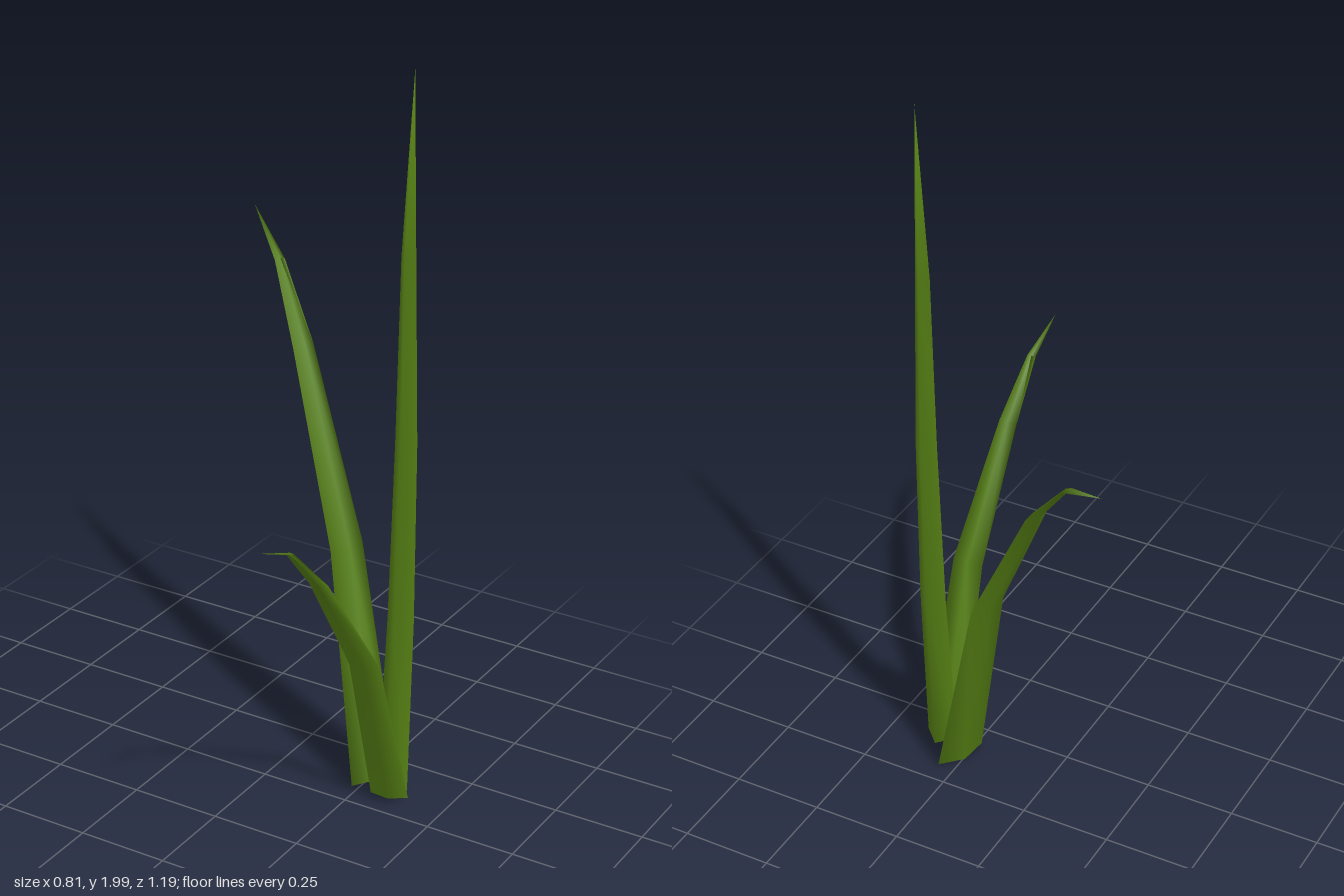
import * as THREE from 'three';

// Each knot: centre x, y, z, half width, half thickness. The last knot is the tip.
const BLADES = [
  {
    name: 'tallBlade', across: [1, 0, 0],
    knots: [
      [0.34, 0.03, -0.094, 0.046, 0.045], [0.337, 0.52, -0.128, 0.039, 0.038],
      [0.334, 1.02, -0.142, 0.032, 0.032], [0.334, 1.52, -0.134, 0.021, 0.022],
      [0.334, 2, -0.145, 0, 0],
    ],
  },
  {
    name: 'longBentBlade', across: [0.41, 0, -0.91],
    knots: [
      [0.265, 0.012, -0.13, 0.074, 0.022], [0.12, 0.635, -0.217, 0.052, 0.015],
      [-0.115, 1.1, -0.38, 0.033, 0.01], [-0.255, 1.285, -0.487, 0.016, 0.005],
      [-0.405, 1.38, -0.6, 0, 0],
    ],
  },
  {
    name: 'shortBentBlade', across: [0.99, 0.08, -0.14],
    knots: [
      [0.357, 0.03, -0.05, 0.053, 0.013], [0.357, 0.49, 0.095, 0.042, 0.01],
      [0.35, 0.82, 0.317, 0.025, 0.006], [0.348, 0.96, 0.45, 0.012, 0.003],
      [0.347, 1.02, 0.59, 0, 0],
    ],
  },
];

// Sweep a tapering diamond section along the knots, closing it at base and tip
function bladeGeometry({ across, knots }) {
  const side = new THREE.Vector3(...across).normalize();
  const points = knots.map((k) => new THREE.Vector3(k[0], k[1], k[2]));
  const last = knots.length - 1;
  const position = [];
  const index = [];

  for (let i = 0; i < last; i++) {
    const tangent = points[i + 1].clone().sub(points[i]).normalize();
    if (i > 0) tangent.add(points[i].clone().sub(points[i - 1]).normalize()).normalize();
    const depth = tangent.cross(side).normalize();
    for (let j = 0; j < 4; j++) {
      const angle = (j * Math.PI) / 2;
      const p = points[i].clone()
        .addScaledVector(side, Math.cos(angle) * knots[i][3])
        .addScaledVector(depth, Math.sin(angle) * knots[i][4]);
      position.push(p.x, p.y, p.z);
    }
  }
  const tip = last * 4;
  position.push(...points[last].toArray());

  for (let i = 0; i < last; i++) {
    for (let j = 0; j < 4; j++) {
      const a = i * 4 + j;
      const b = i * 4 + ((j + 1) % 4);
      if (i === last - 1) index.push(a, b, tip);
      else index.push(a, b, a + 4, b, b + 4, a + 4);
    }
  }
  // Base cap with its own corners, so its edge stays sharp
  position.push(...position.slice(0, 12));
  const cap = tip + 1;
  index.push(cap, cap + 2, cap + 1, cap, cap + 3, cap + 2);

  const geometry = new THREE.BufferGeometry();
  geometry.setAttribute('position', new THREE.Float32BufferAttribute(position, 3));
  geometry.setIndex(index);
  geometry.computeVertexNormals();
  return geometry;
}

export function createModel() {
  const group = new THREE.Group();
  group.name = 'grassTuft';
  const green = new THREE.MeshStandardMaterial({ color: 0x557f14 });
  for (const blade of BLADES) {
    const mesh = new THREE.Mesh(bladeGeometry(blade), green);
    mesh.name = blade.name;
    group.add(mesh);
  }
  return group;
}
